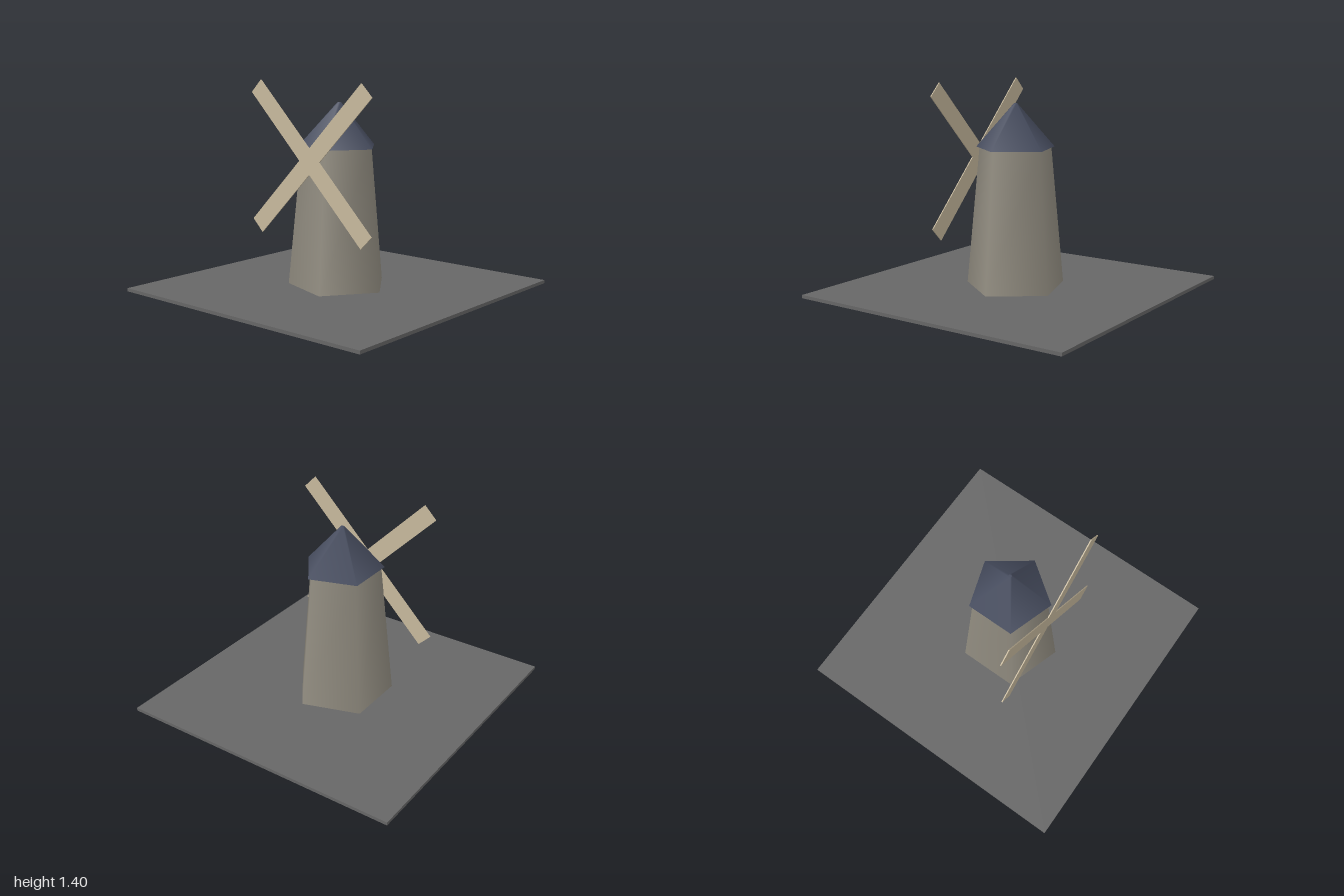
import * as THREE from 'three';

export function createModel() {
  const model = new THREE.Group();
  model.name = 'windmill';

  const material = (name, color) => {
    const m = new THREE.MeshStandardMaterial({ color });
    m.name = name;
    return m;
  };
  const add = (name, geometry, mat, x, y, z) => {
    const mesh = new THREE.Mesh(geometry, mat);
    mesh.name = name;
    mesh.position.set(x, y, z);
    model.add(mesh);
    return mesh;
  };

  const groundGrey = material('ground grey', 0x666666);
  const stone = material('stone', 0x918c80);
  const slate = material('slate blue', 0x464c5e);
  const wood = material('pale wood', 0xc6b89c);

  // Square ground slab
  const groundTop = 0.022;
  add('ground', new THREE.BoxGeometry(2, groundTop, 2), groundGrey, 0, groundTop / 2, 0);

  // Five-sided pieces with one corner towards +x, smooth across the sides
  const pentagon = (top, bottom, height) =>
    new THREE.CylinderGeometry(top, bottom, height, 5, 1, false, Math.PI / 2);

  // Tapered tower and pointed cap
  const eaves = 0.957;
  const towerHeight = eaves - groundTop;
  add('tower', pentagon(0.253, 0.345, towerHeight), stone, 0, groundTop + towerHeight / 2, 0);
  const roofHeight = 0.295;
  add('roof', pentagon(0.012, 0.276, roofHeight), slate, 0, eaves + roofHeight / 2, 0);

  // Four sails as one thin cross, turned to the diagonals
  const reach = 0.665, half = 0.06, thickness = 0.007;
  const points = [];
  for (let i = 0; i < 4; i++) {
    const arm = [[reach, -half], [reach, half], [half, half]];
    for (const [x, y] of arm) {
      points.push(new THREE.Vector2(x, y).rotateAround(new THREE.Vector2(), i * Math.PI / 2));
    }
  }
  const cross = new THREE.ExtrudeGeometry(new THREE.Shape(points), { depth: thickness, bevelEnabled: false });
  cross.translate(0, 0, -thickness / 2);
  add('sails', cross, wood, 0, 0.884, 0.296).rotation.z = Math.PI / 4;

  return model;
}
